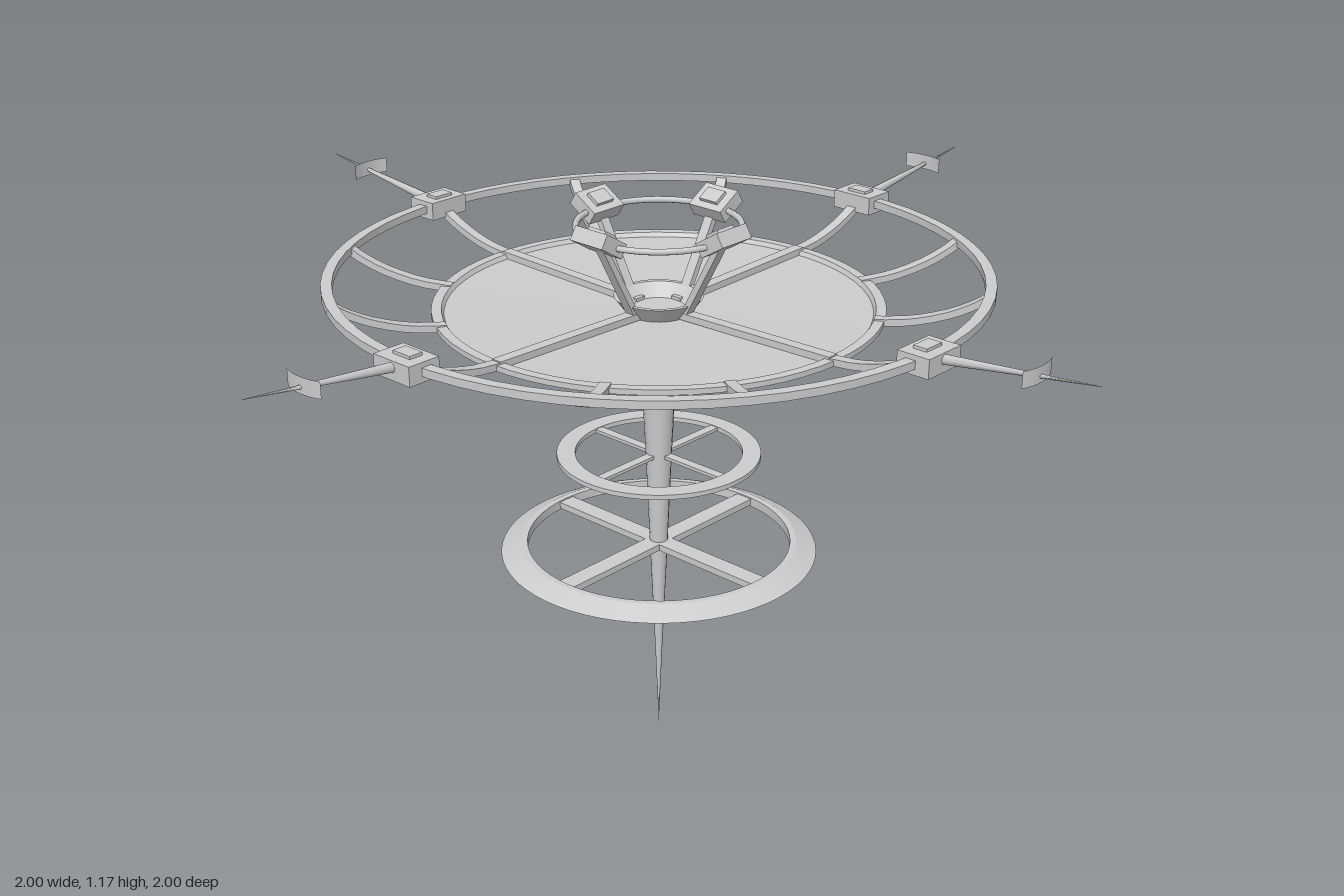
import * as THREE from 'three';

const mat = new THREE.MeshStandardMaterial({ color: 0xcccccc, side: THREE.DoubleSide });
const flat = new THREE.MeshStandardMaterial({ color: 0xcccccc, side: THREE.DoubleSide, flatShading: true });

function add(parent, name, geometry, material = flat) {
  const mesh = new THREE.Mesh(geometry, material);
  mesh.name = name;
  parent.add(mesh);
  return mesh;
}

// Flat profile in the radius/height plane, given a tangential width
function slab(points, width) {
  const shape = new THREE.Shape(points.map(([r, y]) => new THREE.Vector2(r, y)));
  const g = new THREE.ExtrudeGeometry(shape, { depth: width, bevelEnabled: false });
  g.translate(0, 0, -width / 2);
  return g;
}

// Curved bar of even thickness following a radial path
function bar(path, thickness, width, steps = 10) {
  const curve = new THREE.SplineCurve(path.map(([r, y]) => new THREE.Vector2(r, y)));
  const upper = [], lower = [];
  for (let i = 0; i <= steps; i++) {
    const p = curve.getPoint(i / steps), t = curve.getTangent(i / steps);
    const nx = -t.y * thickness / 2, ny = t.x * thickness / 2;
    lower.push([p.x - nx, p.y - ny]);
    upper.unshift([p.x + nx, p.y + ny]);
  }
  return slab([...lower, ...upper], width);
}

// Revolved closed cross-section with sharp edges between its sides
function ring(parent, name, section, segments = 64) {
  const group = new THREE.Group();
  group.name = name;
  section.forEach((p, i) => {
    const q = section[(i + 1) % section.length];
    const pts = [new THREE.Vector2(...p), new THREE.Vector2(...q)];
    add(group, name + 'Side', new THREE.LatheGeometry(pts, segments), mat);
  });
  parent.add(group);
}

const rect = (r0, r1, y0, y1) => [[r0, y0], [r1, y0], [r1, y1], [r0, y1]];

// Runs build(group) for evenly spaced directions around the axis
function around(parent, name, count, build) {
  for (let i = 0; i < count; i++) {
    const g = new THREE.Group();
    g.name = name;
    g.rotation.y = i * Math.PI * 2 / count;
    build(g, i);
    parent.add(g);
  }
}

export function createModel() {
  const model = new THREE.Group();
  model.name = 'station';

  // Tapering central spike
  const spike = [[0, 0], [0.007, 0.18], [0.018, 0.43], [0.027, 0.65], [0.038, 0.88], [0.042, 0.95]];
  add(model, 'spike', new THREE.LatheGeometry(spike.map(p => new THREE.Vector2(...p)), 16), mat);

  // Shallow dish with raised rim and a lower wall
  ring(model, 'dish', [[0, 0.948], [0.375, 0.956], [0.4, 0.962], [0.45, 0.97], [0.45, 0.981],
    [0.43, 0.981], [0.425, 0.972], [0, 0.96]]);
  ring(model, 'dishWall', rect(0.362, 0.375, 0.943, 0.966));

  // Ribs under the dish
  around(model, 'dishRib', 12, g => {
    add(g, 'rib', slab([[0.03, 0.92], [0.12, 0.921], [0.22, 0.927], [0.3, 0.935], [0.37, 0.946],
      [0.37, 0.962], [0.03, 0.955]], 0.014));
  });
  const collar = add(model, 'collar', new THREE.CylinderGeometry(0.07, 0.055, 0.03, 16));
  collar.position.y = 0.937;

  // Outer ring and its curved struts
  ring(model, 'outerRing', rect(0.638, 0.66, 1.034, 1.05));
  around(model, 'ringStrut', 12, g => {
    add(g, 'strut', bar([[0.43, 0.976], [0.5, 0.983], [0.57, 1.002], [0.62, 1.025], [0.645, 1.042]], 0.014, 0.022));
  });

  // Four main arms: dish spoke, ring block, tapered boom and end vane
  around(model, 'arm', 4, g => {
    add(g, 'dishSpoke', bar([[0.05, 0.97], [0.44, 0.979]], 0.014, 0.024, 1));

    const block = add(g, 'ringBlock', new THREE.BoxGeometry(0.07, 0.038, 0.095));
    block.position.set(0.652, 1.041, 0);
    const cap = add(g, 'blockCap', new THREE.BoxGeometry(0.03, 0.012, 0.045));
    cap.position.set(0.648, 1.06, 0);

    const boomGeo = new THREE.CylinderGeometry(0.0005, 0.011, 0.34, 8);
    boomGeo.rotateZ(-Math.PI / 2);
    const boom = add(g, 'boom', boomGeo, mat);
    boom.position.set(0.832, 1.064, 0);
    boom.rotation.z = 0.12;

    const vaneGeo = new THREE.CylinderGeometry(0.12, 0.12, 0.032, 8, 1, true, Math.PI / 2 - 0.385, 0.77);
    const vane = add(g, 'vane', vaneGeo, mat);
    vane.position.set(0.764, 1.074, 0);
  });

  // Central cup with four struts, sensor ring and tilted pods
  ring(model, 'cup', [[0, 0.955], [0.06, 0.955], [0.09, 0.995], [0.08, 0.995], [0.052, 0.97], [0, 0.97]], 32);
  const podRing = add(model, 'podRing', new THREE.TorusGeometry(0.163, 0.0065, 8, 48), mat);
  podRing.rotation.x = Math.PI / 2;
  podRing.position.y = 1.14;
  around(model, 'podArm', 4, g => {
    add(g, 'podStrut', bar([[0.075, 0.975], [0.165, 1.14]], 0.013, 0.022, 1));
    const pod = add(g, 'pod', new THREE.BoxGeometry(0.062, 0.03, 0.084));
    pod.position.set(0.168, 1.146, 0);
    pod.rotation.z = 0.55;
    const cap = add(g, 'podCap', new THREE.BoxGeometry(0.032, 0.012, 0.045));
    cap.position.set(0.16, 1.16, 0);
    cap.rotation.z = 0.55;
  });

  // Small upper hoop on the spike
  ring(model, 'upperHoop', rect(0.172, 0.21, 0.645, 0.655));
  around(model, 'upperHoopSpoke', 4, g => {
    add(g, 'spoke', bar([[0.015, 0.65], [0.18, 0.65]], 0.007, 0.02, 1));
  });

  // Large lower hoop with a bevelled outside and broad spokes
  ring(model, 'lowerHoop', [[0.275, 0.435], [0.33, 0.435], [0.288, 0.455], [0.275, 0.455]]);
  around(model, 'lowerHoopSpoke', 4, g => {
    add(g, 'spoke', bar([[0.01, 0.445], [0.28, 0.445]], 0.014, 0.04, 1));
  });

  return model;
}
